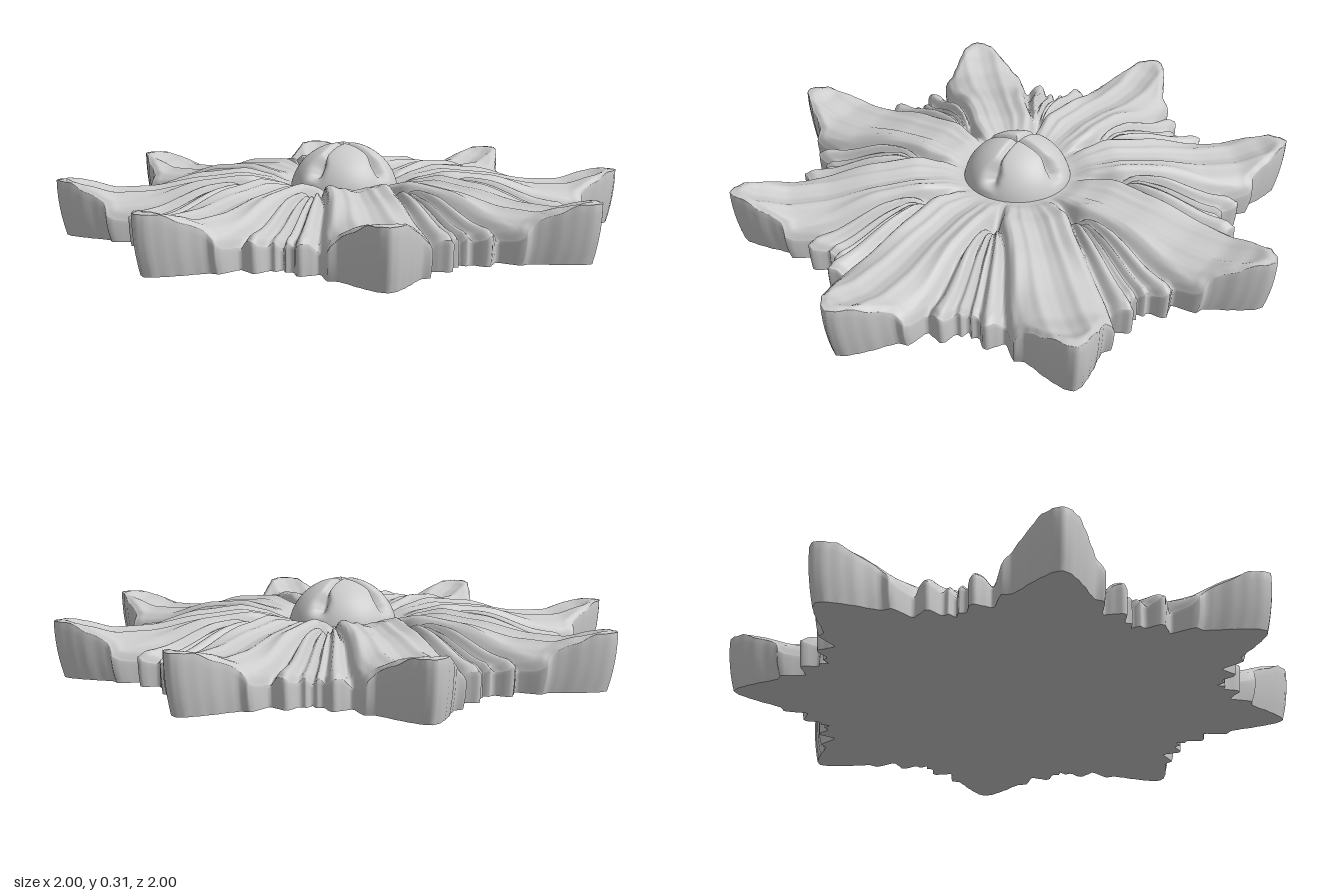
import * as THREE from 'three';

const LEAVES = 8;
const HALF = 22.5; // degrees from a leaf's midrib to the gap between leaves
const PER_HALF = 40;
const COLS = LEAVES * 2 * PER_HALF;
const RINGS = 58;
const WALL = 6;

const material = new THREE.MeshStandardMaterial({ color: 0xcccccc, roughness: 0.8 });
const smooth = (x, a, b) => THREE.MathUtils.smoothstep(x, a, b);
const bump = (x, width) => Math.exp(-((x / width) ** 2));

// Smoothly blended lookup in a short list of [position, value] pairs
function lookup(pairs, x) {
  if (x <= pairs[0][0]) return pairs[0][1];
  for (let i = 1; i < pairs.length; i++) {
    const [x0, y0] = pairs[i - 1];
    const [x1, y1] = pairs[i];
    if (x <= x1) {
      const t = (x - x0) / (x1 - x0);
      return y0 + (y1 - y0) * (0.5 * t + 0.5 * t * t * (3 - 2 * t));
    }
  }
  return pairs[pairs.length - 1][1];
}

// Half a leaf's edge: angle from the midrib, radius
const edge = [
  [0, 1], [1.5, 0.988], [3, 0.96], [5, 0.92], [7, 0.872], [8.6, 0.842], [10.8, 0.84],
  [11.6, 0.80], [12.2, 0.757], [13, 0.745], [15, 0.762], [17, 0.782], [18.2, 0.772],
  [19, 0.732], [20, 0.722], [21.3, 0.73], [22.5, 0.70],
];
// Height along the midrib: radius, height
const spine = [
  [0.1, 0.15], [0.19, 0.16], [0.27, 0.185], [0.36, 0.198], [0.5, 0.185],
  [0.68, 0.155], [0.8, 0.152], [0.9, 0.178], [0.97, 0.21], [1, 0.22],
];
// Blade from midrib (0) to its bounding furrow (1)
const bladeFolds = [
  [0, -0.013], [0.18, -0.008], [0.36, 0.003], [0.48, 0.001], [0.72, 0.013],
  [0.86, 0.006], [1, -0.028],
];
// Side lobes from the furrow (0) to the gap between leaves (1)
const lobeFolds = [
  [0, -0.028], [0.28, 0.004], [0.46, 0.006], [0.64, -0.02], [0.82, -0.004], [1, -0.03],
];

function leafHeight(r, angle, rim) {
  const t = r / rim;
  // the furrow keeps a near constant distance from the midrib and ends in the eye
  const width = 0.122 + 0.044 * smooth(r, 0.42, 0.75);
  const furrow = Math.min(21, THREE.MathUtils.radToDeg(Math.asin(Math.min(1, width / r))));
  let fold;
  if (angle < furrow) {
    fold = lookup(bladeFolds, angle / furrow);
  } else {
    const spread = smooth(HALF - furrow, 1.5, 7);
    fold = -0.028 + spread * (lookup(lobeFolds, (angle - furrow) / (HALF - furrow)) + 0.028);
  }
  let h = lookup(spine, r) + fold * smooth(r, 0.18, 0.36);
  // shoulders and side lobes droop toward the edge
  h -= 0.045 * smooth(angle, 4, 11) * smooth(t, 0.6, 1);
  // deep eye where two leaves meet
  const across = r * Math.sin(THREE.MathUtils.degToRad(HALF - angle));
  h -= 0.035 * bump(across, 0.02) * bump(r - 0.34, 0.05);
  // rounded rim
  h -= 0.015 * Math.pow(smooth(t, 0.95, 1), 2);
  return h;
}

function createLeaves() {
  const positions = [];
  const indices = [];
  const floor = [];
  for (let c = 0; c < COLS; c++) {
    const step = c % (2 * PER_HALF);
    const angle = (Math.min(step, 2 * PER_HALF - step) / PER_HALF) * HALF;
    const a = (c / COLS) * Math.PI * 2;
    const s = Math.sin(a), k = Math.cos(a);
    const rim = lookup(edge, angle);
    for (let j = 0; j <= RINGS; j++) {
      const f = j / RINGS;
      const r = 0.1 + (rim - 0.1) * (1 - Math.pow(1 - f, 1.25));
      positions.push(r * s, leafHeight(r, angle, rim), r * k);
    }
    // edge wall, drawn in slightly at the foot
    const top = leafHeight(rim, angle, rim);
    const foot = rim - 0.03 * smooth(rim, 0.7, 0.95);
    for (let j = 1; j <= WALL; j++) {
      const f = j / WALL;
      const r = rim + (foot - rim) * f * f;
      positions.push(r * s, top * (1 - f), r * k);
    }
    floor.push(new THREE.Vector2(foot * s, foot * k));
  }
  const rows = RINGS + WALL + 1;
  for (let c = 0; c < COLS; c++) {
    const n = (c + 1) % COLS;
    for (let j = 0; j < rows - 1; j++) {
      const p = c * rows + j, q = n * rows + j;
      indices.push(p, p + 1, q, q, p + 1, q + 1);
    }
  }
  const geometry = new THREE.BufferGeometry();
  geometry.setAttribute('position', new THREE.Float32BufferAttribute(positions, 3));
  geometry.setIndex(indices);
  geometry.computeVertexNormals();
  const leaves = new THREE.Mesh(geometry, material);
  leaves.name = 'leafRosette';

  // flat underside
  const base = new THREE.Mesh(new THREE.ShapeGeometry(new THREE.Shape(floor)), material);
  base.geometry.rotateX(Math.PI / 2);
  base.name = 'flatBack';
  return [leaves, base];
}

// Central bud, cut by a cross of thin slits that open into hollows at their ends
function createBud() {
  const columns = 176, rows = 64, radius = 0.182;
  const geometry = new THREE.SphereGeometry(1, columns, rows, 0, Math.PI * 2, 0, Math.PI * 0.6);
  const pos = geometry.attributes.position;
  const v = new THREE.Vector3();
  for (let i = 0; i < pos.count; i++) {
    v.fromBufferAttribute(pos, i).multiplyScalar(radius);
    const along = Math.max(Math.abs(v.x), Math.abs(v.z));
    const off = Math.min(Math.abs(v.x), Math.abs(v.z));
    const end = smooth(along, 0.1, 0.145);
    const inside = v.y > 0 ? 1 - smooth(along, 0.155, 0.174) : 0;
    const cut = (0.02 + 0.018 * end) * bump(off, 0.009 + 0.014 * end) * inside;
    v.multiplyScalar(1 - cut / radius);
    pos.setXYZ(i, v.x * 1.05, v.y + 0.126, v.z * 1.05);
  }
  geometry.computeVertexNormals();
  // match normals across the sphere's seam
  const normal = geometry.attributes.normal;
  for (let j = 0; j <= rows; j++) {
    const a = j * (columns + 1), b = a + columns;
    const n = new THREE.Vector3().fromBufferAttribute(normal, a)
      .add(new THREE.Vector3().fromBufferAttribute(normal, b)).normalize();
    normal.setXYZ(a, n.x, n.y, n.z);
    normal.setXYZ(b, n.x, n.y, n.z);
  }
  const bud = new THREE.Mesh(geometry, material);
  bud.name = 'centralBud';
  return bud;
}

export function createModel() {
  const group = new THREE.Group();
  group.name = 'leafRosetteOrnament';
  group.add(...createLeaves(), createBud());
  return group;
}
